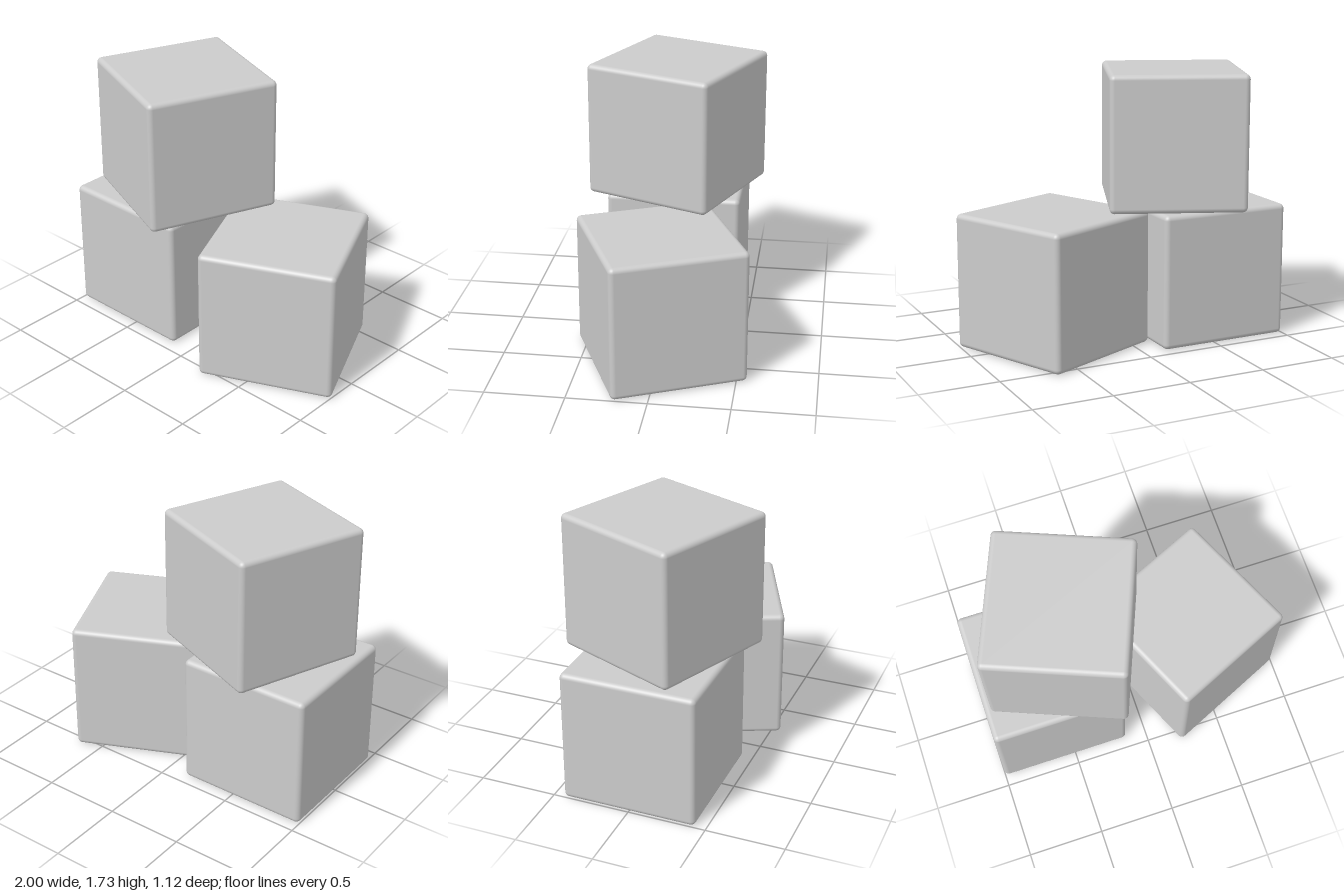
import * as THREE from 'three';
import { RoundedBoxGeometry } from 'three/addons/geometries/RoundedBoxGeometry.js';

const SIZE = 0.865;
const BEVEL = 0.032;

export function createModel() {
  const group = new THREE.Group();
  const material = new THREE.MeshStandardMaterial({ color: 0xcccccc });
  const geometry = new RoundedBoxGeometry(SIZE, SIZE, SIZE, 4, BEVEL);

  // One rounded cube, resting on the given level and turned about the vertical
  const addCube = (name, x, level, degrees) => {
    const cube = new THREE.Mesh(geometry, material);
    cube.name = name;
    cube.position.set(x, (level + 0.5) * SIZE, -0.002);
    cube.rotation.y = THREE.MathUtils.degToRad(degrees);
    group.add(cube);
  };

  // Two cubes on the ground, a third stacked across them
  addCube('rightBottomCube', -0.567, 0, 0);
  addCube('leftBottomCube', 0.438, 0, 24);
  addCube('topCube', -0.405, 1, -22);

  return group;
}
